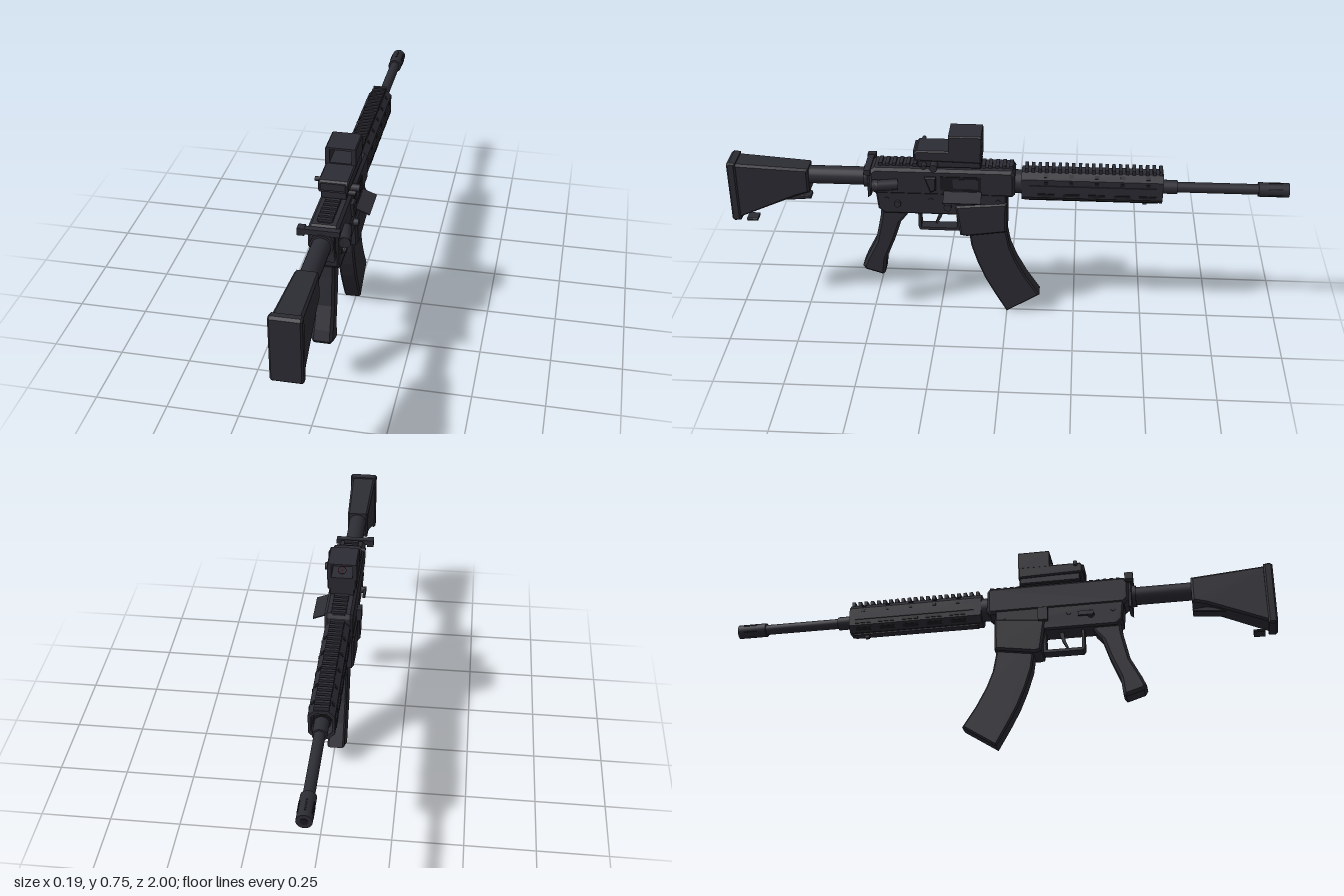
import * as THREE from 'three';

const CX = -0.013; // centre plane of the body
const mat = (name, color) => {
  const m = new THREE.MeshStandardMaterial({ color });
  m.name = name;
  return m;
};

export function createModel() {
  const body = mat('charcoal', 0x2c2c34);
  const dark = mat('dark recess', 0x1b1b20);
  const red = mat('reticle red', 0x9a1418);
  red.side = THREE.DoubleSide;
  const white = mat('sight window white', 0xffffff);
  const root = new THREE.Group();
  root.name = 'rifle';

  const add = (name, geo, m = body, x = 0, y = 0, z = 0) => {
    const mesh = new THREE.Mesh(geo, m);
    mesh.name = name;
    mesh.position.set(x, y, z);
    root.add(mesh);
    return mesh;
  };
  // box from its limits
  const box = (name, x0, x1, y0, y1, z0, z1, m = body) =>
    add(name, new THREE.BoxGeometry(x1 - x0, y1 - y0, z1 - z0), m, (x0 + x1) / 2, (y0 + y1) / 2, (z0 + z1) / 2);
  const mid = (name, half, y0, y1, z0, z1, m) => box(name, CX - half, CX + half, y0, y1, z0, z1, m);
  // side outline given as [z, y], extruded across the width with a bevel
  const slab = (name, pts, half, bevel = 0.008, holes = [], widthAt = null) => {
    const s = new THREE.Shape(pts.map(p => new THREE.Vector2(...p)));
    holes.forEach(h => s.holes.push(new THREE.Path(h.map(p => new THREE.Vector2(...p)))));
    const depth = 2 * (half - bevel);
    const g = new THREE.ExtrudeGeometry(s, {
      depth, bevelEnabled: bevel > 0, bevelSize: bevel, bevelOffset: -bevel, bevelThickness: bevel, bevelSegments: 1,
    });
    g.translate(0, 0, -depth / 2).rotateY(-Math.PI / 2);
    if (widthAt) {
      const p = g.attributes.position;
      for (let i = 0; i < p.count; i++) p.setX(i, p.getX(i) * widthAt(p.getZ(i), p.getY(i)));
      g.computeVertexNormals();
    }
    return add(name, g, body, CX);
  };
  // round part along z
  const rod = (name, r, y, z0, z1, m = body, sides = 20, x = CX) =>
    add(name, new THREE.CylinderGeometry(r, r, z1 - z0, sides).rotateX(Math.PI / 2), m, x, y, (z0 + z1) / 2);
  // round part along x
  const knob = (name, r, x0, x1, y, z, sides = 14) =>
    add(name, new THREE.CylinderGeometry(r, r, x1 - x0, sides).rotateZ(Math.PI / 2), body, (x0 + x1) / 2, y, z);

  // stock
  slab('stock', [[0.975, 0.612], [0.71, 0.595], [0.71, 0.5], [0.76, 0.485], [0.975, 0.392]], 0.048, 0.008, [],
    z => 0.82 + 0.18 * (z - 0.71) / 0.265);
  slab('buttPad', [[1, 0.613], [0.99, 0.62], [0.968, 0.617], [0.968, 0.385], [0.992, 0.382], [1, 0.39]], 0.053, 0.006);
  slab('stockLever', [[0.83, 0.466], [0.83, 0.455], [0.71, 0.466], [0.71, 0.478], [0.76, 0.482]], 0.022, 0.003);
  slab('slingLoop', [[0.955, 0.376], [0.915, 0.376], [0.915, 0.366], [0.955, 0.366]], 0.024, 0.003);
  rod('bufferTube', 0.033, 0.557, 0.5, 0.73);
  rod('castleNut', 0.04, 0.557, 0.485, 0.512);
  slab('endPlate', [[0.498, 0.605], [0.485, 0.605], [0.485, 0.5], [0.498, 0.49]], 0.042, 0.003);

  // receiver
  slab('upperReceiver', [[0.49, 0.6], [0.47, 0.615], [-0.02, 0.615], [-0.03, 0.6], [-0.03, 0.52], [-0.02, 0.51], [0.47, 0.51], [0.49, 0.53]], 0.051, 0.01);
  slab('lowerReceiver', [[0.47, 0.53], [0, 0.53], [0, 0.45], [0.15, 0.43], [0.44, 0.43], [0.462, 0.45]], 0.047, 0.006);
  slab('magazineWell', [[0.185, 0.47], [-0.002, 0.487], [-0.002, 0.365], [0.145, 0.343], [0.168, 0.347]], 0.053, 0.008);
  mid('receiverRail', 0.022, 0.61, 0.617, -0.025, 0.46);
  for (let i = 0; i < 20; i++) mid('receiverRailTooth', 0.026, 0.614, 0.626, -0.022 + i * 0.0245, -0.009 + i * 0.0245);

  // pistol grip, widening to its foot
  slab('pistolGrip', [[0.455, 0.44], [0.35, 0.44], [0.362, 0.412], [0.385, 0.385], [0.41, 0.31], [0.445, 0.225],
    [0.452, 0.165], [0.462, 0.155], [0.525, 0.175], [0.535, 0.19], [0.52, 0.225], [0.482, 0.3], [0.46, 0.4]], 0.038, 0.01, [],
    (z, y) => 0.78 + 0.22 * THREE.MathUtils.clamp((0.42 - y) / 0.25, 0, 1));

  // trigger and its guard
  slab('triggerGuard', [[0.322, 0.435], [0.172, 0.435], [0.172, 0.35], [0.315, 0.35], [0.322, 0.36]], 0.022, 0,
    [[[0.312, 0.43], [0.312, 0.361], [0.182, 0.361], [0.182, 0.43]]]);
  slab('trigger', [[0.245, 0.435], [0.228, 0.435], [0.238, 0.4], [0.255, 0.37], [0.261, 0.373], [0.25, 0.402]], 0.009, 0);

  // curved magazine
  slab('magazine', [[0.145, 0.4], [0, 0.4], [0, 0.355], [-0.012, 0.29], [-0.035, 0.23], [-0.072, 0.16], [-0.122, 0.083],
    [0, 0.004], [0.045, 0.083], [0.08, 0.15], [0.108, 0.22], [0.13, 0.29]], 0.031, 0.006);

  // handguard: eight-sided tube with rails and slots
  const octagon = (w, h, c) => [[-w + c, -h], [w - c, -h], [w, -h + c], [w, h - c], [w - c, h], [-w + c, h], [-w, h - c], [-w, -h + c]]
    .map(p => new THREE.Vector2(...p));
  const guardShape = new THREE.Shape(octagon(0.044, 0.057, 0.022));
  guardShape.holes.push(new THREE.Path(octagon(0.034, 0.044, 0.016)));
  add('handguard', new THREE.ExtrudeGeometry(guardShape, { depth: 0.5, bevelEnabled: false }), body, CX, 0.548, -0.553);
  rod('barrelNut', 0.043, 0.552, -0.09, -0.02);
  rod('handguardCore', 0.031, 0.548, -0.54, -0.05, dark, 12);
  for (let i = 0; i < 21; i++) {
    const z = -0.55 + i * 0.0237;
    mid('topRailTooth', 0.025, 0.603, 0.619, z, z + 0.012);
  }
  for (const s of [-1, 1]) {
    const x = CX + s * 0.045;
    box('sideRail', x - 0.003, x + 0.003, 0.535, 0.561, -0.53, -0.08);
    for (let i = 0; i < 5; i++) {
      const z = -0.5 + i * 0.09;
      box('sideSlot', x - 0.002, x + 0.002, 0.52, 0.529, z - 0.03, z + 0.03, dark);
      box('sideHole', x - 0.002, x + 0.002, 0.567, 0.577, z - 0.007, z + 0.007, dark);
      const low = add('lowerSlot', new THREE.BoxGeometry(0.014, 0.004, 0.055), dark, CX + s * 0.033, 0.502, z);
      low.rotation.z = s * Math.PI / 4;
      const up = add('upperHole', new THREE.BoxGeometry(0.012, 0.004, 0.016), dark, CX + s * 0.033, 0.594, z);
      up.rotation.z = -s * Math.PI / 4;
    }
  }
  mid('bottomRail', 0.016, 0.486, 0.493, -0.54, -0.07);
  mid('slingStud', 0.007, 0.476, 0.492, -0.5, -0.485);

  // barrel and muzzle
  rod('gasCollar', 0.025, 0.547, -0.605, -0.54);
  rod('barrel', 0.019, 0.547, -0.9, -0.58);
  rod('muzzleDevice', 0.026, 0.547, -0.998, -0.89);
  rod('bore', 0.012, 0.547, -1, -0.99, dark);
  for (let i = 0; i < 6; i++) {
    const a = i * Math.PI / 3;
    const slot = add('muzzleSlot', new THREE.BoxGeometry(0.006, 0.004, 0.05), dark,
      CX + Math.sin(a) * 0.0255, 0.547 + Math.cos(a) * 0.0255, -0.95);
    slot.rotation.z = -a;
  }

  // optical sight: mount, base and open hood
  slab('sightMount', [[0.315, 0.652], [0.09, 0.652], [0.09, 0.622], [0.315, 0.622]], 0.045, 0.004);
  slab('sightBase', [[0.325, 0.68], [0.315, 0.69], [0.088, 0.69], [0.088, 0.645], [0.325, 0.65]], 0.052, 0.005);
  mid('sightEndCap', 0.042, 0.658, 0.684, 0.322, 0.329);
  const hood = new THREE.Shape([[-0.053, 0.685], [0.053, 0.685], [0.053, 0.746], [0.049, 0.75], [-0.049, 0.75], [-0.053, 0.746]]
    .map(p => new THREE.Vector2(...p)));
  hood.holes.push(new THREE.Path([[-0.038, 0.694], [-0.038, 0.742], [0.038, 0.742], [0.038, 0.694]]
    .map(p => new THREE.Vector2(...p))));
  add('sightHood', new THREE.ExtrudeGeometry(hood, { depth: 0.115, bevelEnabled: false }), body, CX, 0, 0.088);
  add('sightWindow', new THREE.PlaneGeometry(0.076, 0.048), white, CX, 0.718, 0.1);
  add('reticleRing', new THREE.RingGeometry(0.0135, 0.0158, 32), red, CX, 0.718, 0.102);
  add('reticleDot', new THREE.CircleGeometry(0.0025, 12), red, CX, 0.718, 0.102);
  knob('sightKnob', 0.014, 0.03, 0.065, 0.635, 0.255);
  knob('sightKnob', 0.009, 0.03, 0.058, 0.635, 0.29);
  knob('sightButton', 0.008, -0.079, -0.06, 0.683, 0.3);

  // charging handle
  mid('chargingHandle', 0.06, 0.592, 0.612, 0.483, 0.505);
  box('chargingLatch', -0.095, -0.07, 0.588, 0.614, 0.478, 0.508);

  // left-hand controls of the firing side and the ejection port
  box('ejectionPort', 0.036, 0.041, 0.535, 0.59, 0.09, 0.235, dark);
  box('boltFace', 0.038, 0.042, 0.545, 0.582, 0.1, 0.19);
  const flap = add('portCover', new THREE.BoxGeometry(0.054, 0.004, 0.135), body, 0.067, 0.522, 0.155);
  flap.rotation.z = -0.38;
  knob('portHinge', 0.006, 0.03, 0.044, 0.531, 0.155, 8).scale.z = 11;
  slab('caseDeflector', [[0.29, 0.59], [0.25, 0.59], [0.25, 0.54], [0.27, 0.53]], 0.012, 0.004).position.x = 0.04;
  const assist = rod('forwardAssist', 0.02, 0.556, 0.385, 0.475, body, 16, 0.05);
  assist.rotation.y = 0.18;
  rod('forwardAssistCap', 0.021, 0.556, 0.455, 0.475, body, 16, 0.055);
  knob('magazineRelease', 0.014, 0.03, 0.052, 0.47, 0.21);
  knob('selectorPin', 0.012, 0.03, 0.046, 0.475, 0.39);

  // controls on the other side
  box('boltCatch', -0.079, -0.055, 0.462, 0.512, 0.16, 0.195);
  knob('selectorHub', 0.013, -0.075, -0.055, 0.475, 0.35);
  box('selectorLever', -0.08, -0.07, 0.467, 0.483, 0.305, 0.36);
  for (const z of [0.03, 0.27, 0.43]) knob('receiverPin', 0.009, -0.063, 0.037, 0.49, z, 10);

  return root;
}
